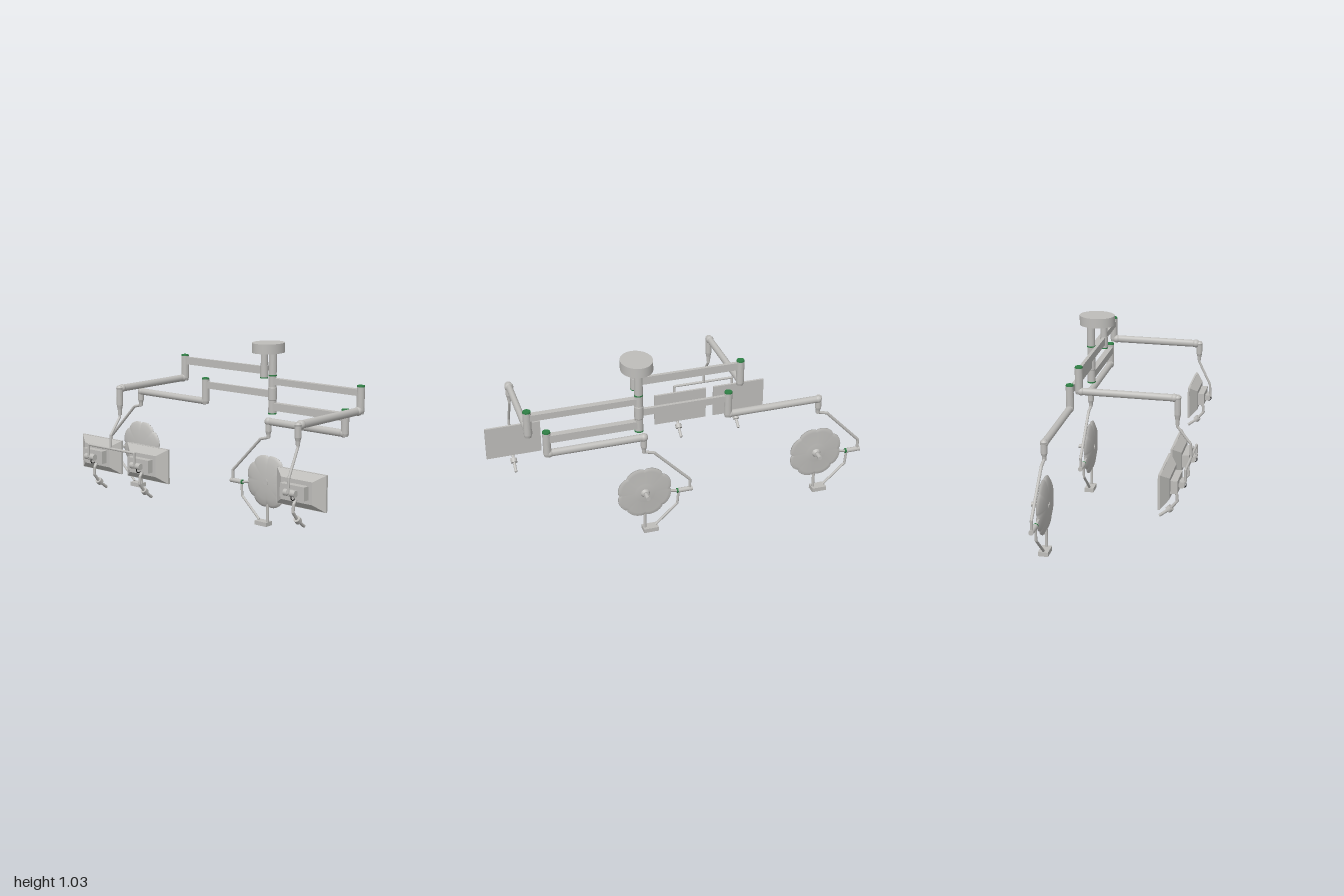
import * as THREE from 'three';

const mat = (name, color) => Object.assign(new THREE.MeshStandardMaterial({ color }), { name });
const grey = mat('light grey', 0xbebdba);
const green = mat('joint green', 0x2f8045);
const black = mat('cable black', 0x1c1c1c);

const V = (x, y, z) => new THREE.Vector3(x, y, z);
const UP = V(0, 1, 0);

function add(parent, name, geo, pos = V(0, 0, 0), m = grey) {
  const mesh = new THREE.Mesh(geo, m);
  mesh.name = name;
  mesh.position.copy(pos);
  parent.add(mesh);
  return mesh;
}

// Cylinder from point a to point b
function bar(parent, name, a, b, r0, r1 = r0, m = grey, seg = 24) {
  const d = b.clone().sub(a);
  const mesh = add(parent, name, new THREE.CylinderGeometry(r1, r0, d.length(), seg), a.clone().add(b).multiplyScalar(0.5), m);
  mesh.quaternion.setFromUnitVectors(UP, d.normalize());
  return mesh;
}

// Bent rod through several points with rounded bends
function rod(parent, name, pts, r, m = grey) {
  pts.forEach((p, i) => {
    if (i === 0) return;
    bar(parent, name, pts[i - 1], p, r, r, m, 12);
    if (i < pts.length - 1) add(parent, name + 'Bend', new THREE.SphereGeometry(r, 12, 8), p, m);
  });
}

// Upright turned piece: profile of [radius, y]
function turned(parent, name, x, z, profile) {
  const pts = profile.map(([r, y]) => new THREE.Vector2(r, y));
  const geo = new THREE.LatheGeometry(pts, 28).toNonIndexed();
  geo.computeVertexNormals();
  add(parent, name, geo, V(x, 0, z));
}

// Oval spring arm with a rounded knuckle at each end
function springArm(parent, name, a, b, h, w) {
  const arm = bar(parent, name, a, b, h, h);
  // local x or z is the vertical side, depending on the direction of the arm
  if (Math.abs(b.x - a.x) > Math.abs(b.z - a.z)) arm.scale.z = w / h;
  else arm.scale.x = w / h;
  for (const p of [a, b]) add(parent, name + 'Knuckle', new THREE.SphereGeometry(h * 1.15, 24, 16), p).scale.setScalar(0.98);
}

// Elbow post with green cap and collar
function post(parent, x, z, y0, y1, r = 0.021) {
  turned(parent, 'elbowPost', x, z, [[0, y0], [r * 0.8, y0], [r, y0 + 0.015], [r, y1 - 0.008], [0, y1 - 0.008]]);
  bar(parent, 'elbowCap', V(x, y1 - 0.008, z), V(x, y1, z), r, r * 0.95, green);
}

// Stepped swivel hanging below an arm end
function swivel(parent, x, z, yTop, yBottom) {
  const h = yTop - yBottom;
  turned(parent, 'swivel', x, z, [[0, yBottom], [0.01, yBottom], [0.012, yBottom + h * 0.2], [0.017, yBottom + h * 0.35],
    [0.017, yTop - 0.02], [0.019, yTop - 0.01], [0.012, yTop], [0, yTop]]);
}

// Monitor facing +x; x is its screen plane
function monitor(parent, x, z) {
  const g = new THREE.Group();
  g.name = 'monitor';
  g.position.set(x, 0, z);
  parent.add(g);
  add(g, 'screenPanel', new THREE.BoxGeometry(0.012, 0.187, 0.305), V(-0.006, 0.4, 0));
  // tapered rear shell
  const shell = new THREE.BoxGeometry(0.038, 0.184, 0.3);
  const p = shell.attributes.position;
  for (let i = 0; i < p.count; i++) {
    if (p.getX(i) < 0) p.setXYZ(i, p.getX(i), p.getY(i) * 0.62, p.getZ(i) * 0.64);
  }
  const flat = shell.toNonIndexed();
  flat.computeVertexNormals();
  add(g, 'rearShell', flat, V(-0.031, 0.4, 0));
  add(g, 'mountBox', new THREE.BoxGeometry(0.036, 0.07, 0.15), V(-0.068, 0.4, 0));
  bar(g, 'tiltHinge', V(-0.1, 0.398, -0.035), V(-0.1, 0.398, 0.035), 0.017);
  bar(g, 'mountStub', V(-0.115, 0.4, 0), V(-0.08, 0.4, 0), 0.013);
  const loop = add(g, 'cableLoop', new THREE.TorusGeometry(0.018, 0.0025, 8, 16, Math.PI), V(-0.098, 0.382, 0.018), black);
  loop.rotation.z = Math.PI * 0.9;
  // handle below the screen
  rod(g, 'handleArm', [V(-0.05, 0.36, 0), V(-0.07, 0.335, 0), V(-0.074, 0.295, 0), V(-0.042, 0.255, 0)], 0.008);
  bar(g, 'handleCollar', V(-0.044, 0.257, 0), V(-0.026, 0.24, 0), 0.018);
  bar(g, 'handleGrip', V(-0.03, 0.243, 0), V(0.018, 0.206, 0), 0.008);
}

// Scalloped operating lamp facing +x, with its hanger
function lamp(parent, x, y, z, armY) {
  const g = new THREE.Group();
  g.name = 'lamp';
  g.position.set(x, y, z);
  parent.add(g);
  const profile = [[0, -0.02], [0.05, -0.019], [0.1, -0.014], [0.135, -0.006], [0.152, 0.003],
    [0.15, 0.008], [0.13, 0.01], [0.06, 0.012], [0.055, 0.016], [0, 0.016]];
  const head = new THREE.LatheGeometry(profile.map(([r, h]) => new THREE.Vector2(r, h)), 96);
  const p = head.attributes.position;
  for (let i = 0; i < p.count; i++) {
    const r = Math.hypot(p.getX(i), p.getZ(i));
    const a = Math.atan2(p.getZ(i), p.getX(i));
    const dent = 0.085 * (1 - Math.sqrt(Math.abs(Math.sin(4 * a)))) * Math.max(0, (r - 0.06) / 0.09);
    p.setX(i, p.getX(i) * (1 - dent));
    p.setZ(i, p.getZ(i) * (1 - dent));
  }
  head.computeVertexNormals();
  head.rotateZ(-Math.PI / 2);
  add(g, 'lampHead', head);
  bar(g, 'rearBoss', V(-0.023, 0, 0), V(-0.015, 0, 0), 0.016);
  bar(g, 'handleBase', V(0.014, 0, 0), V(0.03, 0, 0), 0.026, 0.016);
  bar(g, 'sterileHandle', V(0.025, 0, 0), V(0.073, 0, 0), 0.011, 0.012);
  // hanging rod from the arm to the side joint
  swivel(g, 0, 0, armY - y + 0.02, 0.245);
  rod(g, 'hangerRod', [V(0, 0.25, 0), V(0, 0.235, -0.055), V(0, 0.03, -0.253), V(0, -0.03, -0.253)], 0.008);
  bar(g, 'sideJoint', V(0, -0.03, -0.267), V(0, -0.03, -0.187), 0.013);
  bar(g, 'sideJointCap', V(0, -0.03, -0.187), V(0, -0.03, -0.179), 0.013, 0.013, green);
  bar(g, 'sideStub', V(0, -0.03, -0.18), V(0, -0.02, -0.13), 0.007);
  // lower bracket
  rod(g, 'lowerBracket', [V(0, -0.03, -0.19), V(0, -0.11, -0.183), V(0, -0.225, -0.06)], 0.007);
  add(g, 'lowerBlock', new THREE.BoxGeometry(0.052, 0.024, 0.082), V(0, -0.241, -0.03));
  bar(g, 'lowerPost', V(0, -0.235, 0), V(0, -0.13, 0), 0.008);
}

export function createModel() {
  const root = new THREE.Group();
  root.name = 'ceilingBoom';
  const ax = 0.228, bx = 0.302, pz = 0.27;

  // Ceiling plate and the two columns
  const plate = bar(root, 'ceilingPlate', V(0.265, 0.983, 0.268), V(0.265, 1.036, 0.268), 0.098, 0.098, grey, 48);
  plate.scale.z = 0.85;
  bar(root, 'shortColumn', V(ax, 0.9, pz), V(ax, 0.985, pz), 0.019);
  bar(root, 'shortColumnHub', V(ax, 0.852, pz), V(ax, 0.915, pz), 0.022);
  bar(root, 'shortColumnRing', V(ax, 0.847, pz), V(ax, 0.853, pz), 0.022, 0.022, green);
  turned(root, 'longColumn', bx, pz, [[0, 0.646], [0.022, 0.646], [0.022, 0.715], [0.024, 0.72], [0.024, 0.785],
    [0.022, 0.79], [0.022, 0.985]]);
  for (const y of [0.643, 0.853]) bar(root, 'longColumnRing', V(bx, y - 0.003, pz), V(bx, y + 0.004, pz), 0.0235, 0.0235, green);

  // Horizontal extension arms: x, y, end z, height, width
  [[ax, 0.89, -0.305, 0.042, 0.018], [bx, 0.75, -0.215, 0.038, 0.018],
    [bx, 0.822, 0.848, 0.034, 0.032], [bx, 0.683, 0.755, 0.042, 0.034]].forEach(([x, y, z, h, w]) =>
    add(root, 'extensionArm', new THREE.BoxGeometry(w, h, Math.abs(z - pz)), V(x, y, (z + pz) / 2)));

  // Elbow posts
  post(root, ax, -0.305, 0.775, 0.924);
  post(root, bx, -0.215, 0.64, 0.79);
  post(root, bx, 0.848, 0.71, 0.86);
  post(root, bx, 0.755, 0.58, 0.725);

  // Spring arms
  springArm(root, 'springArm', V(0.215, 0.79, -0.31), V(-0.275, 0.79, -0.31), 0.019, 0.017);
  springArm(root, 'springArm', V(0.285, 0.726, 0.845), V(-0.2, 0.726, 0.845), 0.021, 0.017);
  springArm(root, 'springArm', V(bx, 0.655, -0.225), V(bx, 0.655, -0.725), 0.019, 0.019);
  springArm(root, 'springArm', V(bx, 0.595, 0.745), V(bx, 0.595, 0.245), 0.02, 0.018);

  // Twin monitors on a yoke
  swivel(root, -0.293, -0.31, 0.805, 0.645);
  rod(root, 'twinHanger', [V(-0.293, 0.65, -0.31), V(-0.293, 0.635, -0.31), V(-0.363, 0.545, -0.31), V(-0.367, 0.47, -0.31)], 0.007);
  rod(root, 'twinYoke', [V(-0.36, 0.4, -0.133), V(-0.367, 0.4, -0.133), V(-0.367, 0.47, -0.133),
    V(-0.367, 0.47, -0.483), V(-0.367, 0.4, -0.483), V(-0.36, 0.4, -0.483)], 0.007);
  for (const z of [-0.133, -0.483]) monitor(root, -0.253, z);

  // Single monitor
  swivel(root, -0.222, 0.845, 0.74, 0.625);
  rod(root, 'singleHanger', [V(-0.222, 0.64, 0.845), V(-0.222, 0.615, 0.845), V(-0.29, 0.475, 0.845), V(-0.295, 0.4, 0.845),
    V(-0.28, 0.4, 0.845)], 0.007);
  monitor(root, -0.18, 0.846);

  // Lamps
  lamp(root, bx, 0.255, 0.245, 0.595);
  lamp(root, bx, 0.322, -0.73, 0.655);

  return root;
}
